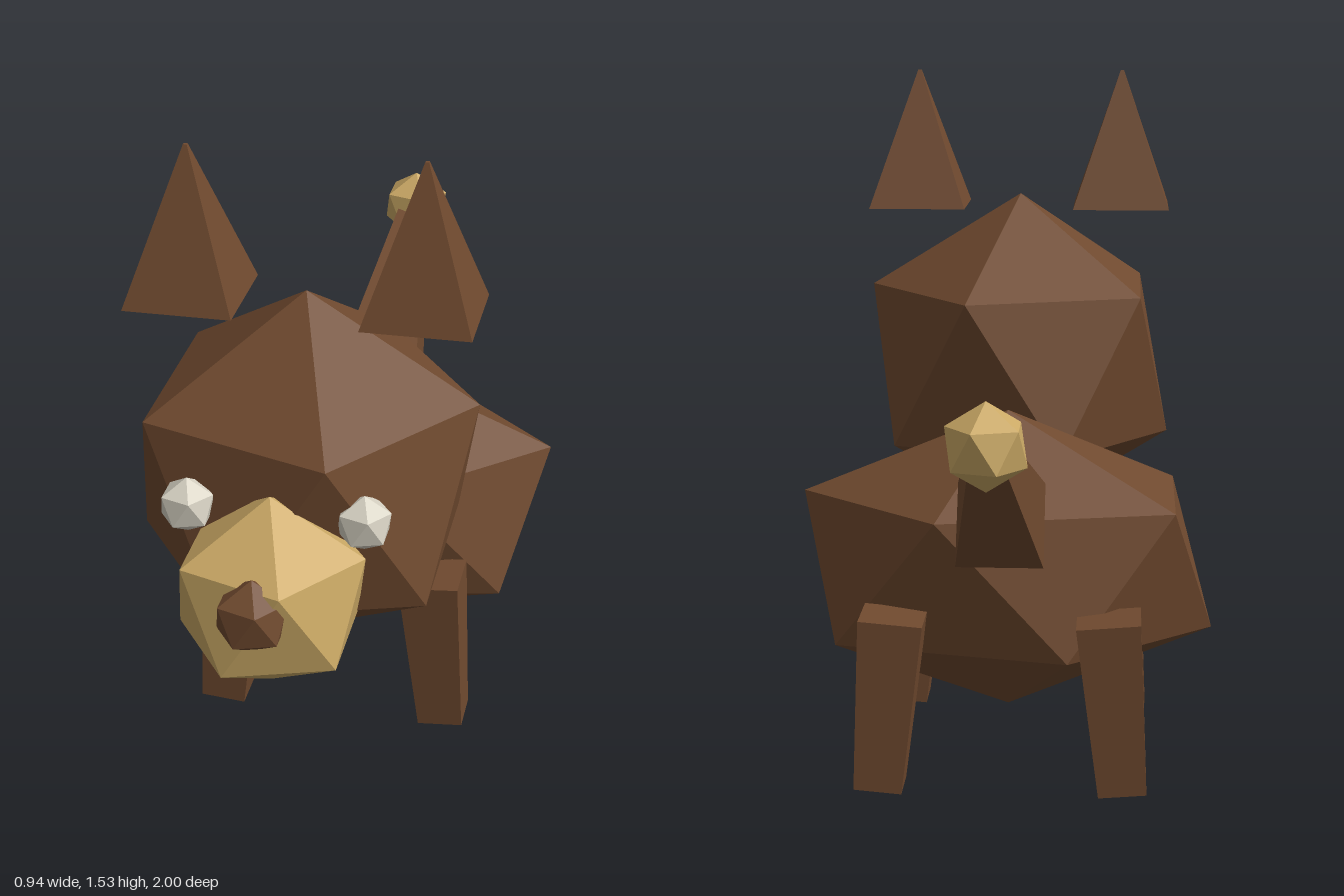
import * as THREE from 'three';

const brown = new THREE.MeshStandardMaterial({ color: 0x704a2f, flatShading: true });
brown.name = 'brown fur';
const gold = new THREE.MeshStandardMaterial({ color: 0xccaa66, flatShading: true });
gold.name = 'golden fur';
const white = new THREE.MeshStandardMaterial({ color: 0xd8d3c4, flatShading: true });
white.name = 'eye white';

export function createModel() {
  const model = new THREE.Group();
  model.name = 'animal';

  function add(name, geometry, material, x, y, z) {
    const mesh = new THREE.Mesh(geometry, material);
    mesh.name = name;
    mesh.position.set(x, y, z);
    model.add(mesh);
    return mesh;
  }

  // Icosahedron standing on one of its vertices
  function gem(radius) {
    const g = new THREE.IcosahedronGeometry(radius, 0);
    g.rotateZ(-Math.atan(2 / (1 + Math.sqrt(5))));
    return g;
  }

  // Tapered square bar, given by its half widths
  function bar(top, bottom, length) {
    const g = new THREE.CylinderGeometry(top * Math.SQRT2, bottom * Math.SQRT2, length, 4);
    return g.rotateY(Math.PI / 4);
  }

  // Body and head
  add('body', gem(0.35).scale(1.5, 1, 1), brown, 0, 0.443, -0.15);
  add('head', gem(0.415), brown, 0, 0.812, 0.42);
  add('muzzle', gem(0.22), gold, 0, 0.71, 0.77);
  add('nose', gem(0.082), brown, 0, 0.75, 0.93);

  // Paired parts
  for (const [side, s] of [['left', 1], ['right', -1]]) {
    add(side + 'Eye', gem(0.062), white, s * 0.185, 0.866, 0.725);
    add(side + 'Ear', bar(0.004, 0.117, 0.333), brown, s * 0.25, 1.365, 0.42);
    for (const [end, z] of [['Front', 0.15], ['Back', -0.45]]) {
      const leg = add(side + end + 'Leg', bar(0.07, 0.053, 0.39), brown, s * 0.252, 0.2, z);
      leg.rotation.z = s * 0.085;
    }
  }

  // Tail with a round tip
  const tail = add('tail', bar(0.037, 0.095, 0.5), brown, 0, 0.73, -0.665);
  tail.rotation.x = -1.03;
  add('tailTip', gem(0.09), gold, 0, 0.88, -0.92);

  return model;
}
